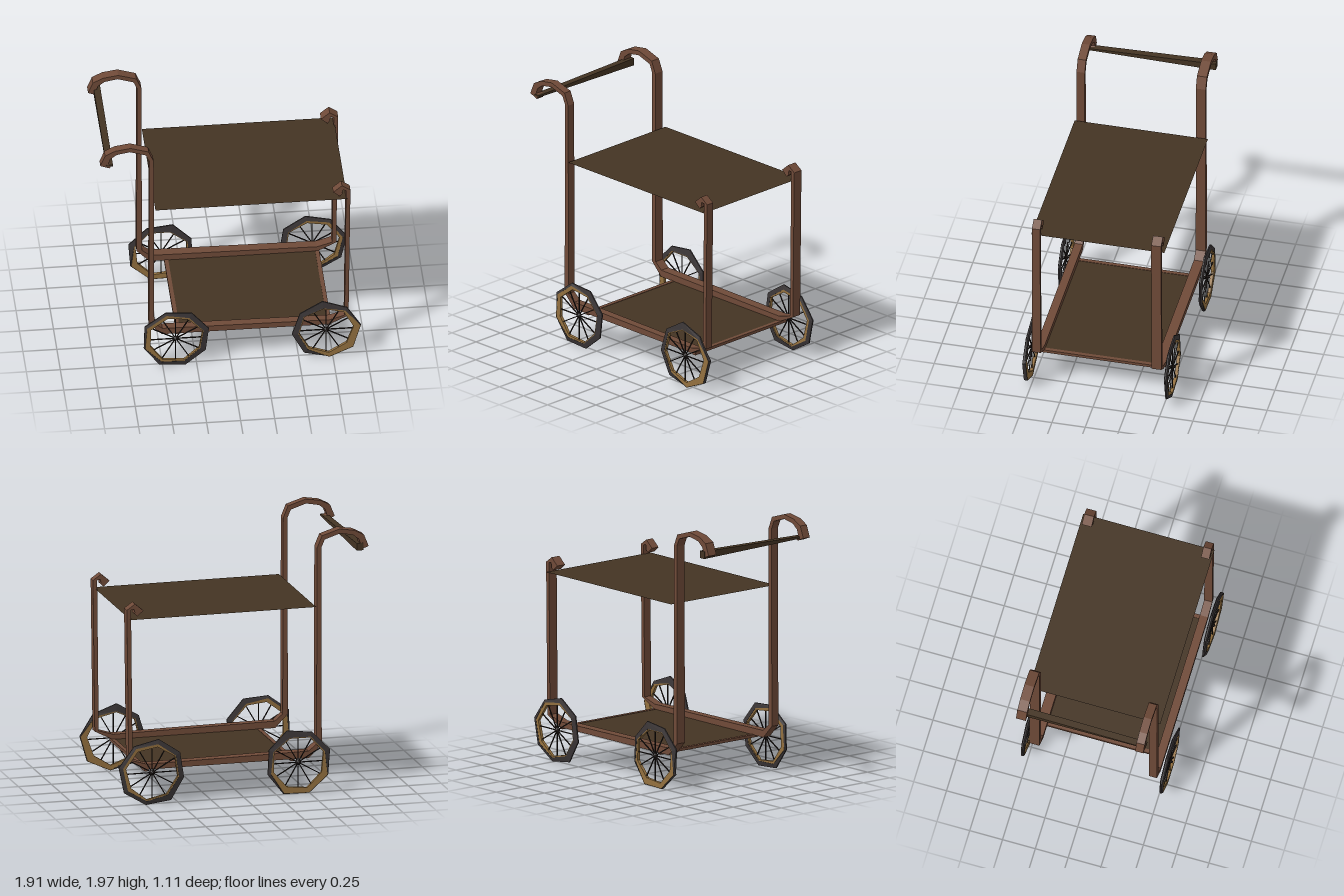
import * as THREE from 'three';

const mat = (name, color, extra = {}) => {
  const m = new THREE.MeshStandardMaterial({ color, flatShading: true, ...extra });
  m.name = name;
  return m;
};

// Flat band of the given thickness following [x, y, halfThickness] points, extruded along z
function band(points, depth) {
  const left = [], right = [];
  points.forEach(([x, y, t], i) => {
    const a = points[Math.max(i - 1, 0)], b = points[Math.min(i + 1, points.length - 1)];
    const len = Math.hypot(b[0] - a[0], b[1] - a[1]);
    const nx = -(b[1] - a[1]) / len * t, ny = (b[0] - a[0]) / len * t;
    left.push(new THREE.Vector2(x + nx, y + ny));
    right.unshift(new THREE.Vector2(x - nx, y - ny));
  });
  const geo = new THREE.ExtrudeGeometry(new THREE.Shape([...left, ...right]), { depth, bevelEnabled: false });
  return geo.translate(0, 0, -depth / 2);
}

// Closed angular ring: sections[i] holds [radius, z] corners at the i-th angle
function ring(sections) {
  const n = sections.length, pos = [];
  const point = (i, k) => {
    const [r, z] = sections[i % n][k % 4], a = (i % n) / n * Math.PI * 2;
    return [r * Math.cos(a), r * Math.sin(a), z];
  };
  for (let i = 0; i < n; i++) for (let k = 0; k < 4; k++) {
    const a = point(i, k), b = point(i, k + 1), c = point(i + 1, k + 1), d = point(i + 1, k);
    pos.push(...a, ...b, ...c, ...a, ...c, ...d);
  }
  const geo = new THREE.BufferGeometry();
  geo.setAttribute('position', new THREE.Float32BufferAttribute(pos, 3));
  geo.computeVertexNormals();
  return geo;
}

export function createModel() {
  const root = new THREE.Group();
  root.name = 'servingCart';
  const wood = mat('brown wood', 0x6f4a38);
  const board = mat('dark board', 0x443423, { side: THREE.DoubleSide });
  const tyreMat = mat('charcoal tyre', 0x3a3536);
  const rimMat = mat('tan rim', 0x93703f);
  const iron = mat('black iron', 0x211a18);

  const add = (parent, name, geo, material, x = 0, y = 0, z = 0) => {
    const m = new THREE.Mesh(geo, material);
    m.name = name;
    m.position.set(x, y, z);
    parent.add(m);
    return m;
  };

  // Side frames: curled handle, tall post, bottom rail, short post, small curl
  const path = [
    [-0.88, 1.835, 0.015], [-0.925, 1.855, 0.03], [-0.9, 1.92, 0.025], [-0.84, 1.957, 0.018],
    [-0.735, 1.975, 0.017], [-0.61, 1.935, 0.018], [-0.578, 1.86, 0.016], [-0.578, 0.38, 0.02],
    [-0.5, 0.305, 0.026], [0.73, 0.298, 0.02], [0.855, 0.35, 0.015], [0.868, 1.49, 0.016],
    [0.825, 1.515, 0.02], [0.79, 1.475, 0.033], [0.815, 1.45, 0.015],
  ];
  add(root, 'frontFrame', band(path, 0.062), wood, 0, 0, 0.455);
  add(root, 'backFrame', band(path, 0.074), wood, 0, 0, -0.447);

  // Push bar, flatter towards the front end
  const bar = new THREE.BoxGeometry(0.05, 0.055, 0.98);
  const bp = bar.attributes.position;
  for (let i = 0; i < bp.count; i++) if (bp.getZ(i) > 0) bp.setY(i, bp.getY(i) * 0.25);
  add(root, 'pushBar', bar, board, -0.887, 1.848, 0);

  // Shelves
  const shelf = (name, x0, x1, y, depth) =>
    add(root, name, new THREE.PlaneGeometry(x1 - x0, depth).rotateX(-Math.PI / 2), board, (x0 + x1) / 2, y, -0.003);
  shelf('upperShelf', -0.55, 0.86, 1.42, 1.0);
  shelf('lowerShelf', -0.37, 0.73, 0.28, 0.92);

  // Cross bars under the lower shelf
  for (const x of [-0.38, 0.73])
    add(root, 'crossBar', new THREE.BoxGeometry(0.03, 0.022, 0.94), wood, x, 0.272, 0);

  // Wheels: uneven eight-sided tyre around an off-centre rim, thin spokes and a pointed hub
  const SIDES = 8, SPOKES = 12;
  function wheel(name, x, z, tanAngle, tanAmount, turn) {
    const g = new THREE.Group();
    g.name = name;
    g.position.set(x, 0.265, z);
    const rim = [], tyre = [];
    for (let i = 0; i < SIDES; i++) {
      const a = i / SIDES * Math.PI * 2;
      const inner = 0.2 + 0.006 * Math.sin(i * 2.3 + turn * 5);
      const outer = 0.252 + 0.007 * Math.sin(i * 3.7 + turn * 9);
      const mid = Math.min(outer - 0.002, Math.max(inner + 0.008, 0.217 + tanAmount * Math.cos(a + turn - tanAngle)));
      rim.push([[inner, 0.011], [mid, 0.012], [mid, -0.012], [inner, -0.011]]);
      tyre.push([[mid, 0.014], [outer, 0.005], [outer, -0.005], [mid, -0.014]]);
    }
    add(g, 'rim', ring(rim), rimMat).rotation.z = turn;
    add(g, 'tyre', ring(tyre), tyreMat).rotation.z = turn;
    for (let i = 0; i < SPOKES; i++) {
      const a = i / SPOKES * Math.PI * 2;
      const s = add(g, 'spoke', new THREE.BoxGeometry(0.195, 0.007, 0.007), iron, 0.1 * Math.cos(a), 0.1 * Math.sin(a), 0);
      s.rotation.z = a;
    }
    for (const side of [-1, 1])
      add(g, 'hub', new THREE.ConeGeometry(0.024, 0.026, 6).rotateX(side * Math.PI / 2), iron, 0, 0, side * 0.013);
    root.add(g);
  }
  wheel('frontRightWheel', -0.405, 0.528, 2.9, 0.022, 0.3);
  wheel('frontLeftWheel', 0.7, 0.528, -0.6, 0.05, 0.1);
  wheel('backRightWheel', -0.405, -0.53, -1.8, 0.045, 0.45);
  wheel('backLeftWheel', 0.705, -0.53, 0.3, 0.012, 0.2);

  return root;
}
